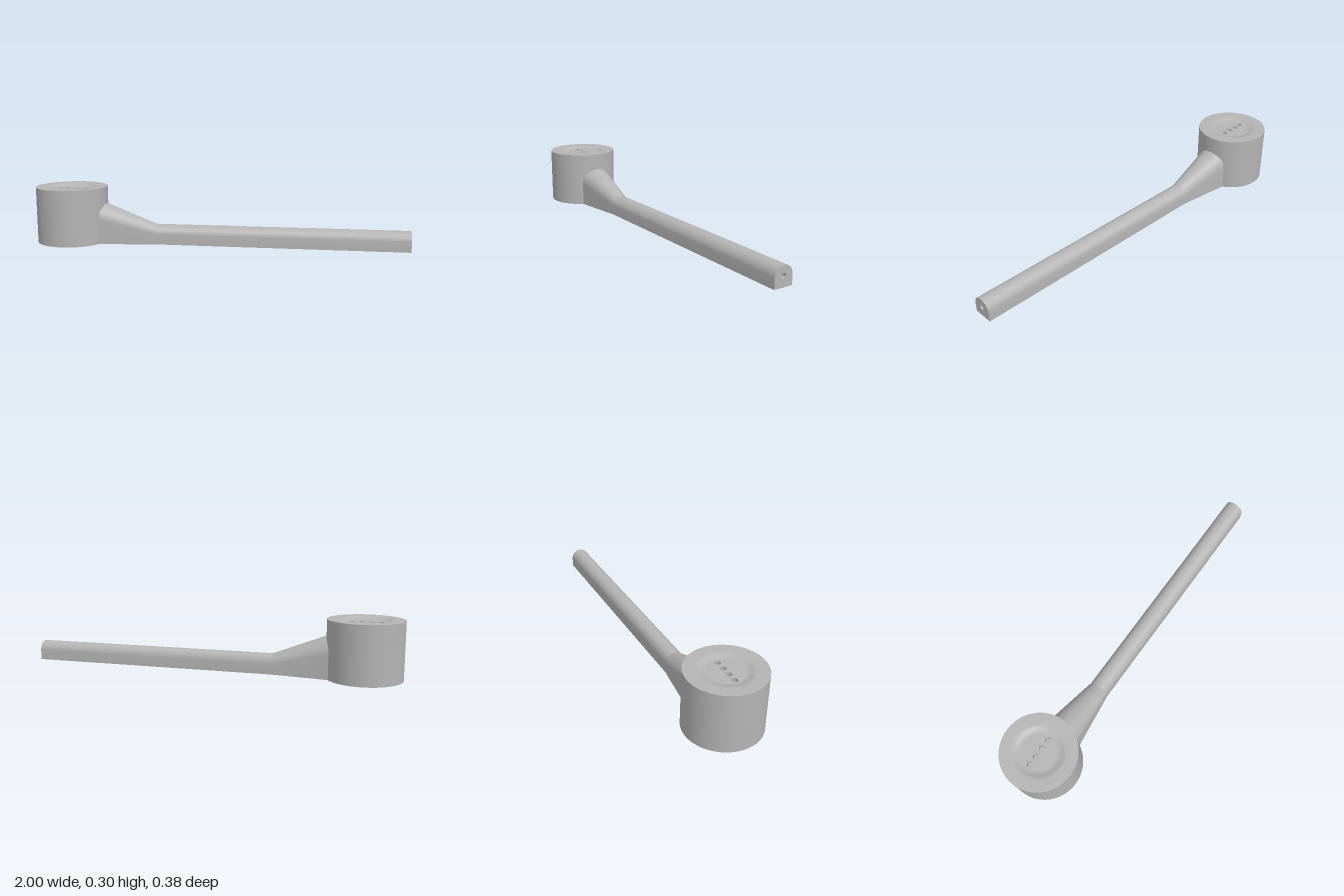
import * as THREE from 'three';
import { toCreasedNormals } from 'three/addons/utils/BufferGeometryUtils.js';

const HEAD_X = -0.808, HEAD_R = 0.192, HEAD_H = 0.3;
const DISH_R = 0.135, FLOOR_R = 0.092, DISH_DEPTH = 0.012;

const grey = new THREE.MeshStandardMaterial({ color: 0xb4b4b4 });
grey.name = 'grey';

function part(name, geometry, parent) {
  const mesh = new THREE.Mesh(geometry, grey);
  mesh.name = name;
  parent.add(mesh);
  return mesh;
}

const lathe = (pts, segments) => toCreasedNormals(
  new THREE.LatheGeometry(pts.map(([x, y]) => new THREE.Vector2(x, y)), segments), 0.5);

// Blind hole opening upward at y = 0
const pit = (r, depth) => lathe([[r, 0], [r, -depth], [0, -depth]], 24);

const circlePath = (x, y, r) => new THREE.Path().absarc(x, y, r, 0, Math.PI * 2, true);

// Arch outline: flat bottom, straight sides, round top; as [z, y]
function arch(halfWidth, shoulder, top, segments = 28) {
  const pts = [[halfWidth, 0]];
  for (let i = 0; i <= segments; i++) {
    const a = Math.PI * i / segments;
    pts.push([halfWidth * Math.cos(a), shoulder + (top - shoulder) * Math.sin(a)]);
  }
  pts.push([-halfWidth, 0]);
  return pts;
}

// Skin through equal-length outlines placed along x
function loft(sections) {
  const n = sections[0].outline.length, pos = [], index = [];
  for (const { x, outline } of sections) for (const [z, y] of outline) pos.push(x, y, z);
  for (let i = 0; i < sections.length - 1; i++) {
    for (let j = 0; j < n; j++) {
      const a = i * n + j, b = i * n + (j + 1) % n;
      index.push(a, a + n, b, b, a + n, b + n);
    }
  }
  const g = new THREE.BufferGeometry();
  g.setAttribute('position', new THREE.Float32BufferAttribute(pos, 3));
  g.setIndex(index);
  return toCreasedNormals(g, 0.3);
}

export function createModel() {
  const model = new THREE.Group();
  model.name = 'domeHandledTool';

  // Round head with a socket below and a shallow dish on top
  const head = new THREE.Group();
  head.name = 'head';
  head.position.x = HEAD_X;
  model.add(head);
  const profile = [[0, 0.12], [0.052, 0.12], [0.052, 0], [HEAD_R, 0], [HEAD_R, HEAD_H]];
  for (let i = 0; i <= 8; i++) {
    const t = i / 8;
    profile.push([DISH_R + (FLOOR_R - DISH_R) * t,
      HEAD_H - DISH_DEPTH * (1 - Math.cos(Math.PI * t)) / 2]);
  }
  part('headBody', lathe(profile, 72), head);

  // Dish floor pierced by a row of four small holes
  const floor = new THREE.Shape().absarc(0, 0, FLOOR_R, 0, Math.PI * 2, false);
  const holeXs = [-0.071, -0.024, 0.024, 0.071];
  for (const x of holeXs) floor.holes.push(circlePath(x, 0, 0.015));
  part('dishFloor', new THREE.ShapeGeometry(floor, 36).rotateX(-Math.PI / 2), head)
    .position.y = HEAD_H - DISH_DEPTH;
  for (const x of holeXs) {
    part('topHole', pit(0.015, 0.04), head).position.set(x, HEAD_H - DISH_DEPTH, 0);
  }

  // Handle: flared neck running into a straight arched bar
  const tip = arch(0.051, 0.052, 0.102);
  part('handle', loft([
    { x: -0.645, outline: arch(0.09, 0.131, 0.221) },
    { x: -0.34, outline: tip },
    { x: 1, outline: tip },
  ]), model);

  // End face with its small bore
  const end = new THREE.Shape(tip.map(([z, y]) => new THREE.Vector2(z, y)));
  end.holes.push(circlePath(0, 0.052, 0.013));
  part('handleEnd', new THREE.ShapeGeometry(end, 12).rotateY(Math.PI / 2), model).position.x = 1;
  const bore = part('handleBore', pit(0.013, 0.15), model);
  bore.rotation.z = -Math.PI / 2;
  bore.position.set(1, 0.052, 0);

  return model;
}
